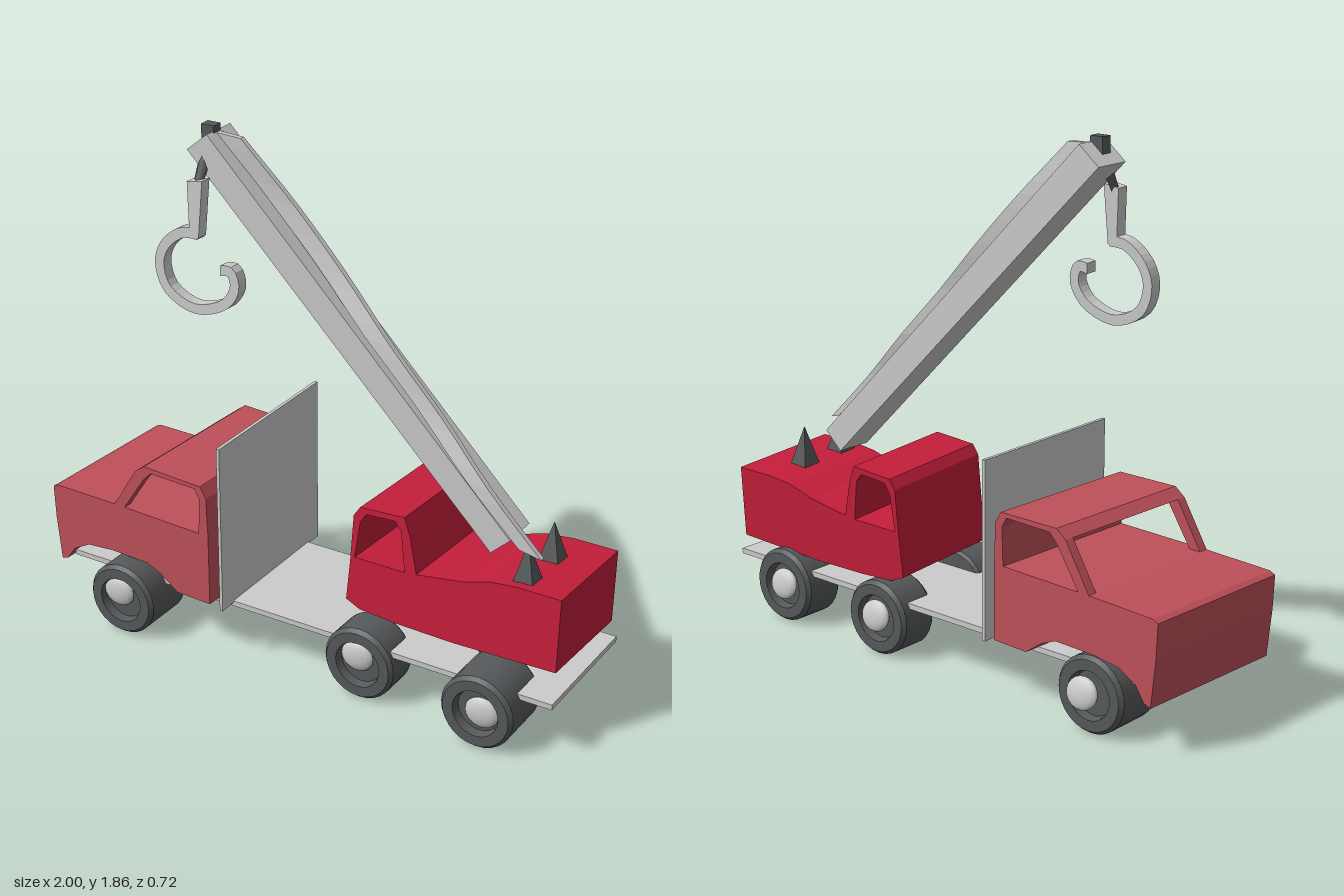
import * as THREE from 'three';

const mat = (color) => new THREE.MeshStandardMaterial({ color, side: THREE.DoubleSide });
const grey = mat(0xcccccc), dark = mat(0x56595b), cabRed = mat(0xbe5059), craneRed = mat(0xc41e3a);

function add(parent, name, geometry, material, x = 0, y = 0, z = 0) {
  const mesh = new THREE.Mesh(geometry, material);
  mesh.name = name;
  mesh.position.set(x, y, z);
  parent.add(mesh);
  return mesh;
}

const vecs = (pts) => pts.map(([x, y]) => new THREE.Vector2(x, y));

// Extrude a side outline from z0 to z1, with optional window hole
function slab(outline, z0, z1, hole) {
  const shape = new THREE.Shape(vecs(outline));
  if (hole) shape.holes.push(new THREE.Path(vecs(hole)));
  const g = new THREE.ExtrudeGeometry(shape, { depth: z1 - z0, bevelEnabled: false });
  return g.translate(0, 0, z0);
}

// Group whose children keep world coordinates but turn about a pivot
function pivotGroup(parent, name, x, y, z) {
  const outer = new THREE.Group(), inner = new THREE.Group();
  outer.name = name;
  outer.position.set(x, y, z);
  inner.position.set(-x, -y, -z);
  outer.add(inner);
  parent.add(outer);
  return [outer, inner];
}

function buildCab(root) {
  const [cab, inner] = pivotGroup(root, 'driverCab', -0.635, 0.3, 0);
  cab.rotation.y = -0.053;
  const belt = [[-0.985, 0.46], [-0.98, 0.34], [-0.962, 0.17], [-0.935, 0.18], [-0.9, 0.23], [-0.83, 0.268],
    [-0.72, 0.28], [-0.56, 0.28], [-0.5, 0.255], [-0.43, 0.205], [-0.285, 0.205], [-0.285, 0.475]];
  const side = [...belt, [-0.29, 0.62], [-0.315, 0.66], [-0.56, 0.665], [-0.6, 0.635], [-0.7, 0.475], [-0.965, 0.47]];
  const window = [[-0.655, 0.475], [-0.565, 0.61], [-0.53, 0.645], [-0.34, 0.645], [-0.32, 0.61], [-0.325, 0.475]];
  add(inner, 'cabBody', slab([...belt, [-0.7, 0.475], [-0.965, 0.47]], -0.26, 0.26), cabRed);
  for (const s of [-1, 1]) {
    add(inner, 'cabSide', slab(side, s > 0 ? 0.26 : -0.295, s > 0 ? 0.295 : -0.26, window), cabRed);
  }
  // Roof and rear wall in one bent sheet; the windscreen stays open
  add(inner, 'cabRoof', slab([[-0.285, 0.475], [-0.29, 0.62], [-0.315, 0.66], [-0.56, 0.665], [-0.6, 0.635],
    [-0.565, 0.645], [-0.34, 0.645], [-0.32, 0.61], [-0.325, 0.475]], -0.26, 0.26), cabRed);
}

function buildCraneBody(root) {
  const [body, inner] = pivotGroup(root, 'craneHouse', 0.58, 0.28, -0.015);
  body.rotation.x = -0.06;
  const outline = [[0.185, 0.31], [0.24, 0.285], [0.38, 0.275], [0.6, 0.27], [0.98, 0.28], [0.98, 0.545],
    [0.82, 0.545], [0.72, 0.535], [0.62, 0.505], [0.45, 0.48], [0.42, 0.61], [0.395, 0.675],
    [0.225, 0.665], [0.202, 0.63], [0.195, 0.46]];
  const window = [[0.212, 0.475], [0.228, 0.61], [0.25, 0.645], [0.36, 0.652], [0.385, 0.62], [0.405, 0.475]];
  add(inner, 'craneCabin', slab(outline, -0.23, 0.2, window), craneRed);
}

function buildBoom(root) {
  add(root, 'boom', slab([[-0.49, 1.78], [-0.41, 1.845], [0.75, 0.67], [0.68, 0.605]], -0.033, 0.105), grey);

  // Wavy cable band lying along the boom
  const drift = new THREE.SplineCurve(vecs([[0, 0.045], [0.15, 0.035], [0.35, 0.05], [0.5, 0.085],
    [0.65, 0.1], [0.8, 0.135], [1, 0.14]]));
  const n = 24, pos = [], idx = [];
  for (let i = 0; i <= n; i++) {
    const t = i / n, z = drift.getPoint(t).y;
    const low = [-0.42 + 1.225 * t, 1.84 - 1.165 * t], high = [-0.31 + 1.195 * t, 1.835 - 1.175 * t];
    for (const [p, dz] of [[low, 0.01], [high, 0.01], [high, -0.01], [low, -0.01]]) pos.push(p[0], p[1], z + dz);
    if (i === n) break;
    for (let k = 0; k < 4; k++) {
      const a = i * 4 + k, b = i * 4 + (k + 1) % 4;
      idx.push(a, a + 4, b, b, a + 4, b + 4);
    }
  }
  const e = n * 4;
  idx.push(0, 1, 2, 0, 2, 3, e, e + 2, e + 1, e, e + 3, e + 2);
  let band = new THREE.BufferGeometry();
  band.setAttribute('position', new THREE.Float32BufferAttribute(pos, 3));
  band.setIndex(idx);
  band = band.toNonIndexed();
  band.computeVertexNormals();
  add(root, 'cableBand', band, grey);
}

function buildHook(root) {
  // Dark peg through the boom tip and the short line down to the hook
  add(root, 'hookPeg', new THREE.BoxGeometry(0.05, 0.07, 0.04), dark, -0.43, 1.83, 0.05);
  const line = add(root, 'hookLine', new THREE.CylinderGeometry(0.025, 0.018, 0.17, 4), dark, -0.43, 1.735, 0.1);
  line.rotation.x = -0.5;

  const [hook, inner] = pivotGroup(root, 'hook', -0.43, 1.46, 0.143);
  hook.rotation.x = -0.04;
  add(inner, 'hookShank', slab([[-0.458, 1.69], [-0.448, 1.5], [-0.412, 1.5], [-0.398, 1.7]], 0.121, 0.165), grey);
  const curve = new THREE.SplineCurve(vecs([[-0.42, 1.512], [-0.485, 1.505], [-0.55, 1.45], [-0.572, 1.375],
    [-0.535, 1.29], [-0.43, 1.247], [-0.32, 1.28], [-0.27, 1.345], [-0.283, 1.405], [-0.325, 1.405]]));
  const left = [], right = [], n = 32;
  for (let i = 0; i <= n; i++) {
    const p = curve.getPoint(i / n), d = curve.getTangent(i / n), w = 0.018;
    left.push([p.x - d.y * w, p.y + d.x * w]);
    right.unshift([p.x + d.y * w, p.y - d.x * w]);
  }
  add(inner, 'hookBend', slab([...left, ...right], 0.121, 0.165), grey);
}

// Wheel between zIn and zOut; the dished face points away from the chassis
function buildWheel(root, x, zIn, zOut, hubX, hubY, hubOut) {
  const w = Math.abs(zOut - zIn), dir = Math.sign(zOut);
  const wheel = new THREE.Group();
  wheel.name = 'wheel';
  wheel.position.set(x, 0.137, zIn);
  if (dir < 0) wheel.rotation.y = Math.PI;
  root.add(wheel);
  const rings = [[0, 0], [0.125, 0], [0.134, 0.012], [0.134, w - 0.015], [0.122, w], [0.085, w],
    [0.078, w - 0.03], [0, w - 0.03]];
  // Each band is its own lathe so that edges stay sharp
  for (let i = 0; i < rings.length - 1; i++) {
    add(wheel, 'tyre', new THREE.LatheGeometry(vecs([rings[i], rings[i + 1]]), 28), dark).rotation.x = Math.PI / 2;
  }
  const hub = add(wheel, 'hub', new THREE.SphereGeometry(0.062, 16, 10), grey, hubX * dir, hubY, w + hubOut);
  hub.scale.set(1, 0.9, 0.35);
  hub.rotation.x = dir < 0 ? -0.2 : 0;
}

export function createModel() {
  const root = new THREE.Group();
  root.name = 'craneTruck';

  add(root, 'chassis', new THREE.BoxGeometry(1.93, 0.02, 0.49), grey, 0.035, 0.2, 0.013);
  add(root, 'rearPanel', new THREE.BoxGeometry(0.012, 0.63, 0.625), grey, -0.245, 0.517, 0.012);
  add(root, 'turntable', new THREE.CylinderGeometry(0.108, 0.108, 0.1, 24), dark, 0.73, 0.245, 0.03);

  buildCab(root);
  buildCraneBody(root);
  buildBoom(root);
  buildHook(root);

  // Pointed posts on the crane deck
  for (const [z, y] of [[0.112, 0.615], [-0.073, 0.605]]) {
    const post = new THREE.ConeGeometry(0.055, 0.15, 4).toNonIndexed();
    post.computeVertexNormals();
    add(root, 'deckPost', post, dark, 0.822, y, z).rotation.y = Math.PI / 4;
  }

  // x, inner z, outer z, hub offset x and y, hub protrusion
  [[-0.652, 0.15, 0.365, -0.02, 0.022, -0.022], [-0.692, -0.11, -0.303, 0, 0.02, 0.032],
    [0.283, 0.14, 0.287, -0.012, 0.022, -0.022], [0.277, -0.12, -0.275, 0, 0.01, 0],
    [0.762, 0.125, 0.337, 0.015, 0, -0.02], [0.75, -0.11, -0.27, -0.01, 0.01, 0],
  ].forEach((w) => buildWheel(root, ...w));

  return root;
}
